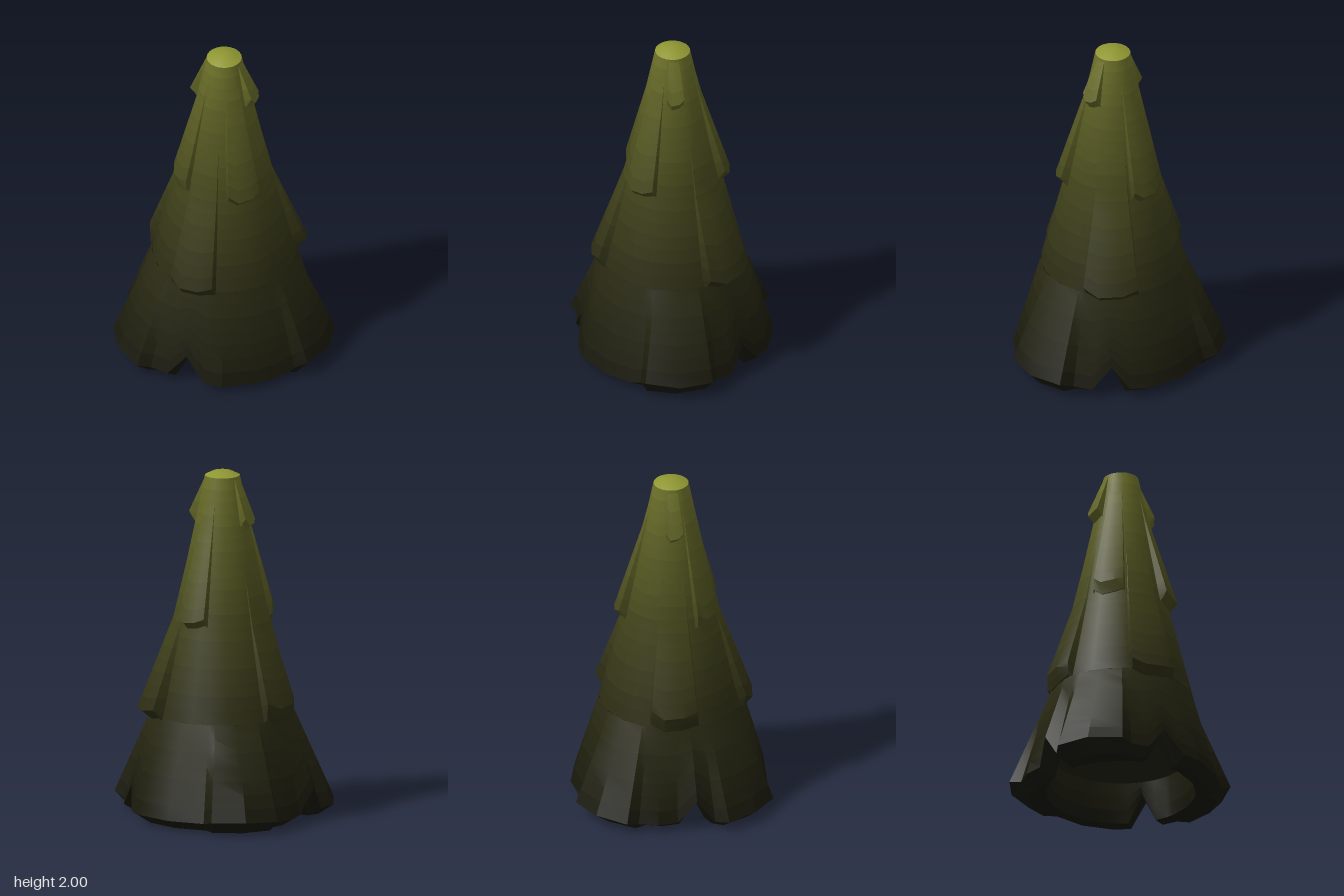
import * as THREE from 'three';
import { toCreasedNormals } from 'three/addons/utils/BufferGeometryUtils.js';

const AXIS_Z = -0.03;
const polar = (deg, r, y) => {
  const a = THREE.MathUtils.degToRad(deg);
  return new THREE.Vector3(Math.cos(a) * r, y, Math.sin(a) * r + AXIS_Z);
};

// Colour steps from dark ground to bright tip: [height, colour]
const TONES = [[0, 0x121209], [0.6, 0x2a2a13], [1.14, 0x41431a], [1.7, 0x5c5f23], [1.96, 0x6c7028], [2, 0x8f9632]];
const STEPS = 40;
const PALETTE = Array.from({ length: STEPS + 1 }, (_, i) => {
  const y = (i / STEPS) * 2;
  const k = Math.max(1, TONES.findIndex(([h]) => h >= y));
  const [y0, c0] = TONES[k - 1], [y1, c1] = TONES[k];
  const color = new THREE.Color(c0).lerp(new THREE.Color(c1), (y - y0) / (y1 - y0));
  return new THREE.MeshStandardMaterial({ color, roughness: 0.9, side: THREE.DoubleSide });
});

// Splits tall rows so the colour can change step by step
function subdivide(rows) {
  const out = [rows[0]];
  for (let i = 1; i < rows.length; i++) {
    const n = Math.max(1, Math.ceil(Math.abs(rows[i - 1][0].y - rows[i][0].y) / 0.08));
    for (let k = 1; k <= n; k++) out.push(rows[i].map((p, j) => rows[i - 1][j].clone().lerp(p, k / n)));
  }
  return out;
}

// Skin over rows of points (rows run downwards, columns by growing angle)
function skin(name, coarseRows, crease) {
  const rows = subdivide(coarseRows);
  const pos = [], tones = [];
  const tri = (...v) => v.forEach((p) => pos.push(p.x, p.y, p.z));
  const cols = rows[0].length - 1;
  for (let i = 0; i < rows.length - 1; i++) {
    let height = 0;
    for (let j = 0; j < cols; j++) {
      const p = rows[i][j], q = rows[i][j + 1], r = rows[i + 1][j], s = rows[i + 1][j + 1];
      tri(p, q, r);
      tri(q, s, r);
      height += (p.y + r.y) / 2 / cols;
    }
    tones.push(Math.round((height / 2) * STEPS));
  }
  let g = new THREE.BufferGeometry();
  g.setAttribute('position', new THREE.Float32BufferAttribute(pos, 3));
  g = toCreasedNormals(g, crease);
  tones.forEach((t, i) => g.addGroup(i * cols * 6, cols * 6, t));
  const mesh = new THREE.Mesh(g, PALETTE);
  mesh.name = name;
  return mesh;
}

// Trunk profile: [height, radius]
const PROFILE = [[1.97, 0.1], [1.7, 0.155], [1.14, 0.275], [0.6, 0.41], [0.5, 0.435]];
function coreRadius(y) {
  const i = Math.max(1, PROFILE.findIndex(([h]) => h <= y));
  const [y0, r0] = PROFILE[i - 1], [y1, r1] = PROFILE[i];
  return r0 + ((r1 - r0) * (y0 - y)) / (y0 - y1);
}
const ring = (y, r, n = 24) => Array.from({ length: n + 1 }, (_, i) => polar((i * 360) / n, r, y));

// Overhanging flap: grows out of the trunk, then flares below the knee to a thick lip
function flap(name, a0, a1, yTop, yKnee, yLip, r, drop) {
  const w = a1 - a0;
  // [angle, radius factor, height offset]
  const cols = [[a0 + w * 0.07, 0.955, 0.02], [a0 + w * 0.32, 1, 0], [a0 + w * 0.68, 1, -0.01], [a1 - w * 0.07, 0.955, 0.03]];
  const row = (y, radius, fn) => [
    polar(a0, coreRadius(y) - 0.01, y),
    ...cols.map(([a, k, dy]) => fn(a, radius * k, radius, dy)),
    polar(a1, coreRadius(y) - 0.01, y),
  ];
  const flat = (y, lift) => row(y, coreRadius(y) + lift, (a, _, full) => polar(a, full, y));
  const yUnder = yLip - drop;
  const under = (lift) => row(yUnder, coreRadius(yUnder) + lift, (a, _, full, dy) => polar(a, full, yUnder + dy));
  return skin(name, [
    flat(yTop, -0.004),
    flat(yKnee, 0.005),
    row(yLip, r, (a, rk, _, dy) => polar(a, rk, yLip + dy)),
    under(0.01),
    under(-0.03),
  ], 0.45);
}

// Ragged skirt outline: [x, z, height]
const HEM = [
  [0, -0.605, 0.06], [0.11, -0.58, 0.06], [0.2, -0.52, 0.19], [0.31, -0.495, 0.05], [0.4, -0.435, 0.06],
  [0.485, -0.44, 0.09], [0.6, -0.28, 0.09], [0.632, -0.085, 0.1], [0.575, -0.035, 0.06], [0.562, 0.03, 0.04],
  [0.525, 0.185, 0.04], [0.405, 0.375, 0.04], [0.31, 0.43, 0.05], [0.2, 0.455, 0.19], [0.105, 0.515, 0.05],
  [0, 0.545, 0.05], [-0.055, 0.602, 0.06], [-0.25, 0.565, 0.07], [-0.41, 0.455, 0.06], [-0.41, 0.37, 0.05],
  [-0.465, 0.28, 0.19], [-0.485, 0.17, 0.05], [-0.55, 0.075, 0.05], [-0.57, -0.035, 0.05], [-0.632, -0.085, 0.07],
  [-0.6, -0.28, 0.08], [-0.485, -0.44, 0.08], [-0.4, -0.435, 0.06], [-0.22, -0.56, 0.06],
];

export function createModel() {
  const model = new THREE.Group();
  model.name = 'taperedStump';

  // Rounded tip and trunk
  model.add(skin('tipCap', [ring(2, 0), ring(1.992, 0.055), ring(1.97, 0.1)], 0.6));
  model.add(skin('trunk', PROFILE.slice(0, 4).map(([y, r]) => ring(y, r)), 0.6));

  // Overlapping flaps in three tiers: angles, top, knee, lip height, lip radius, lip drop
  const flaps = [
    ['tipFlap', -42, -6, 1.97, 1.93, 1.73, 0.205, 0.05],
    ['tipFlap', 138, 174, 1.97, 1.93, 1.71, 0.202, 0.03],
    ['upperFlap', -128, -90, 1.92, 1.68, 1.17, 0.325, 0.04],
    ['upperFlap', 0, 42, 1.92, 1.68, 1.17, 0.325, 0.04],
    ['upperFlap', 90, 132, 1.92, 1.68, 1.21, 0.298, 0.07],
    ['middleFlap', -90, -44, 1.6, 1.14, 0.63, 0.485, 0.05],
    ['middleFlap', 138, 180, 1.6, 1.14, 0.68, 0.445, 0.09],
    ['middleFlap', 50, 90, 1.6, 1.14, 0.62, 0.465, 0.05],
  ];
  flaps.forEach((f) => model.add(flap(...f)));

  // Skirt: columns share the angles of the ragged hem, which folds under to a foot
  const hem = [...HEM, HEM[0]].map(([x, z, y]) => ({
    a: THREE.MathUtils.radToDeg(Math.atan2(z - AXIS_Z, x)),
    low: y > 0.15 ? 0.17 : 0,
    p: new THREE.Vector3(x, y, z),
  }));
  const footCentre = new THREE.Vector3(0.08, 0, 0.04);
  const top = hem.map((h) => polar(h.a, 0.411, 0.6));
  const edge = hem.map((h) => h.p);
  const foot = hem.map((h) => h.p.clone().lerp(footCentre, 0.14).setY(h.low));
  const inner = hem.map((h) => polar(h.a, 0.425, h.low + 0.01));
  model.add(skin('skirt', [top, edge, foot, inner], 0.4));

  // Hollow underside
  const wall = hem.map((h) => polar(h.a, 0.4, 0.25));
  const ceiling = hem.map((h) => polar(h.a, 0, 0.27));
  model.add(skin('hollow', [inner, wall, ceiling], 0.5));

  return model;
}
